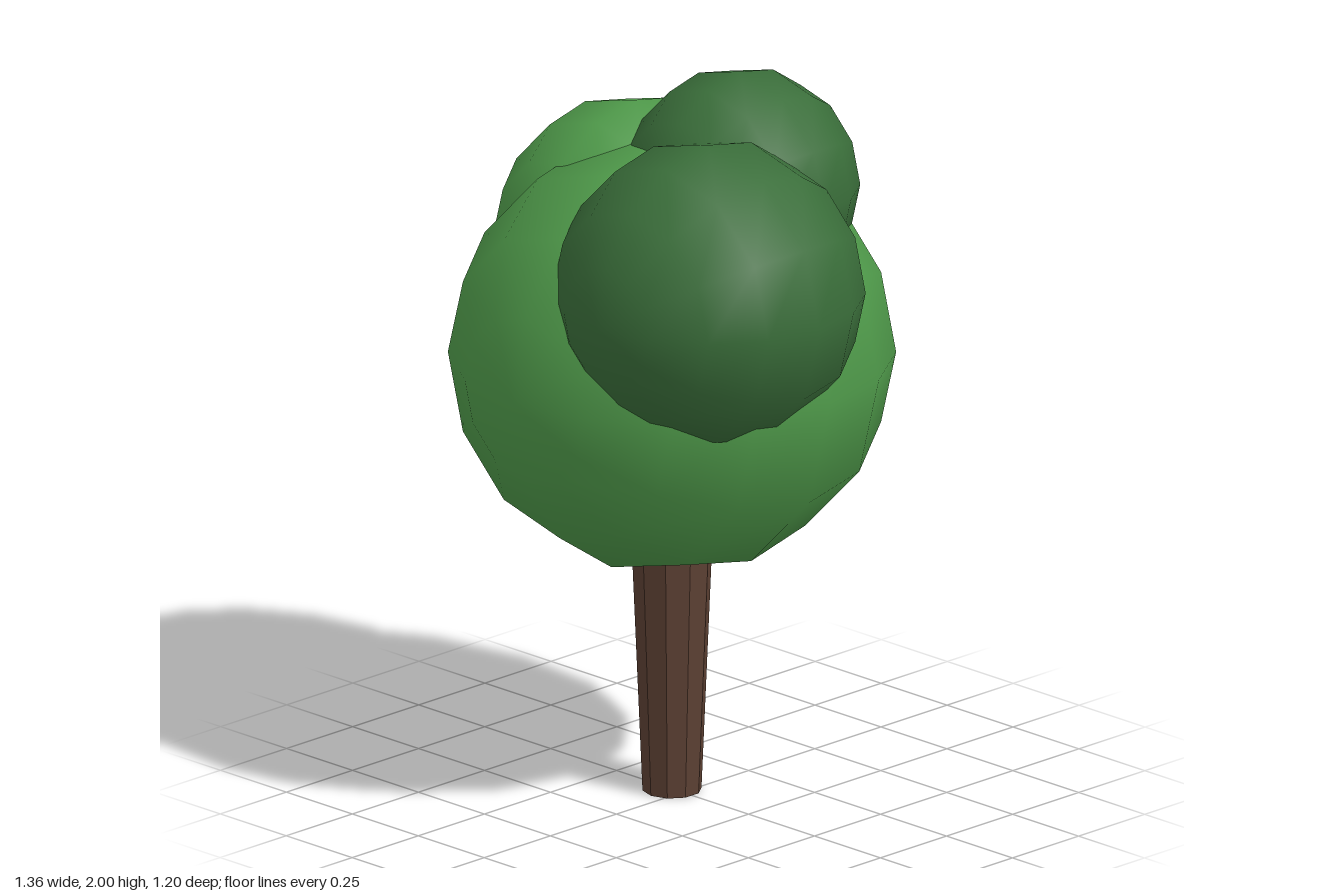
import * as THREE from 'three';

const material = (color, flatShading = false) => {
  const m = new THREE.MeshStandardMaterial({ flatShading });
  m.color.set(color);
  return m;
};

export function createModel() {
  const tree = new THREE.Group();
  tree.name = 'tree';

  const bark = material(0x5c4033, true);
  const lightLeaf = material(0x4f9a4a);
  const darkLeaf = material(0x3a6e3a);

  // Trunk: ten-sided, widening upward into the crown
  const height = 0.95;
  const trunk = new THREE.Mesh(new THREE.CylinderGeometry(0.12, 0.08, height, 10), bark);
  trunk.name = 'trunk';
  trunk.position.set(-0.04, height / 2, 0);
  tree.add(trunk);

  // Crown: overlapping coarse spheres whose poles point along z
  const foliage = [
    ['mainFoliage', 0.6, [-0.04, 1.24, 0], lightLeaf],
    ['frontLeftFoliage', 0.42, [0.26, 1.52, 0.16], darkLeaf],
    ['rightFoliage', 0.38, [-0.3, 1.48, -0.12], lightLeaf],
    ['topFoliage', 0.32, [0.02, 1.68, -0.2], darkLeaf],
  ];
  for (const [name, radius, position, leaf] of foliage) {
    const clump = new THREE.Mesh(new THREE.SphereGeometry(radius, 12, 8).rotateX(Math.PI / 2), leaf);
    clump.name = name;
    clump.position.set(...position);
    tree.add(clump);
  }

  return tree;
}
